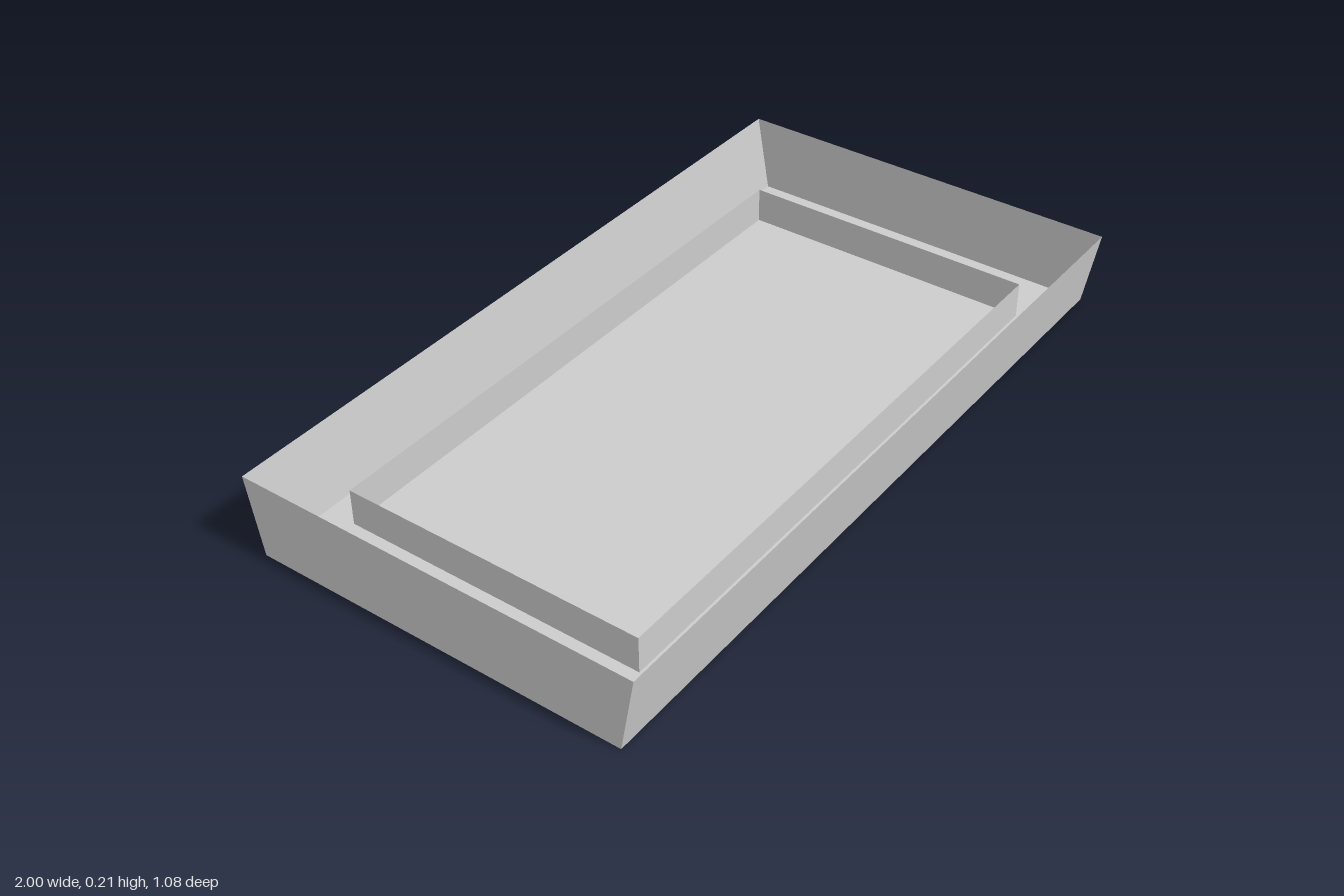
import * as THREE from 'three';

const material = new THREE.MeshStandardMaterial({
  color: 0xcccccc, side: THREE.DoubleSide, flatShading: true,
});

// Thin four-sided wall band between a lower and an upper rectangle (half sizes)
function band(name, lower, upper) {
  const corners = ({ x, y, z }) => [[-x, y, z], [x, y, z], [x, y, -z], [-x, y, -z]];
  const lo = corners(lower), hi = corners(upper), pos = [];
  for (let i = 0; i < 4; i++) {
    const j = (i + 1) % 4;
    pos.push(...lo[i], ...lo[j], ...hi[j], ...lo[i], ...hi[j], ...hi[i]);
  }
  const geo = new THREE.BufferGeometry();
  geo.setAttribute('position', new THREE.Float32BufferAttribute(pos, 3));
  geo.computeVertexNormals();
  const mesh = new THREE.Mesh(geo, material);
  mesh.name = name;
  return mesh;
}

function rectangle(PathType, x, z) {
  return new PathType([[-x, -z], [x, -z], [x, z], [-x, z]].map(p => new THREE.Vector2(...p)));
}

export function createModel() {
  const group = new THREE.Group();
  group.name = 'tray';
  const inner = { x: 0.815, z: 0.41 };

  // Outer walls: upright ends, front and back flaring outwards
  group.add(band('outerWalls', { x: 1, y: 0, z: 0.505 }, { x: 1, y: 0.21, z: 0.542 }));

  // Upright rim around the opening in the base
  group.add(band('innerRim', { ...inner, y: 0 }, { ...inner, y: 0.11 }));

  // Base sheet with a rectangular opening
  const shape = rectangle(THREE.Shape, 1, 0.505);
  shape.holes.push(rectangle(THREE.Path, inner.x, inner.z));
  const base = new THREE.Mesh(new THREE.ShapeGeometry(shape).rotateX(-Math.PI / 2), material);
  base.name = 'base';
  group.add(base);

  // Slightly offset panel closing the opening just above the base
  const panel = new THREE.Mesh(new THREE.PlaneGeometry(1.866, 0.856).rotateX(-Math.PI / 2), material);
  panel.name = 'floorPanel';
  panel.position.set(-0.024, 0.012, -0.008);
  group.add(panel);

  return group;
}
